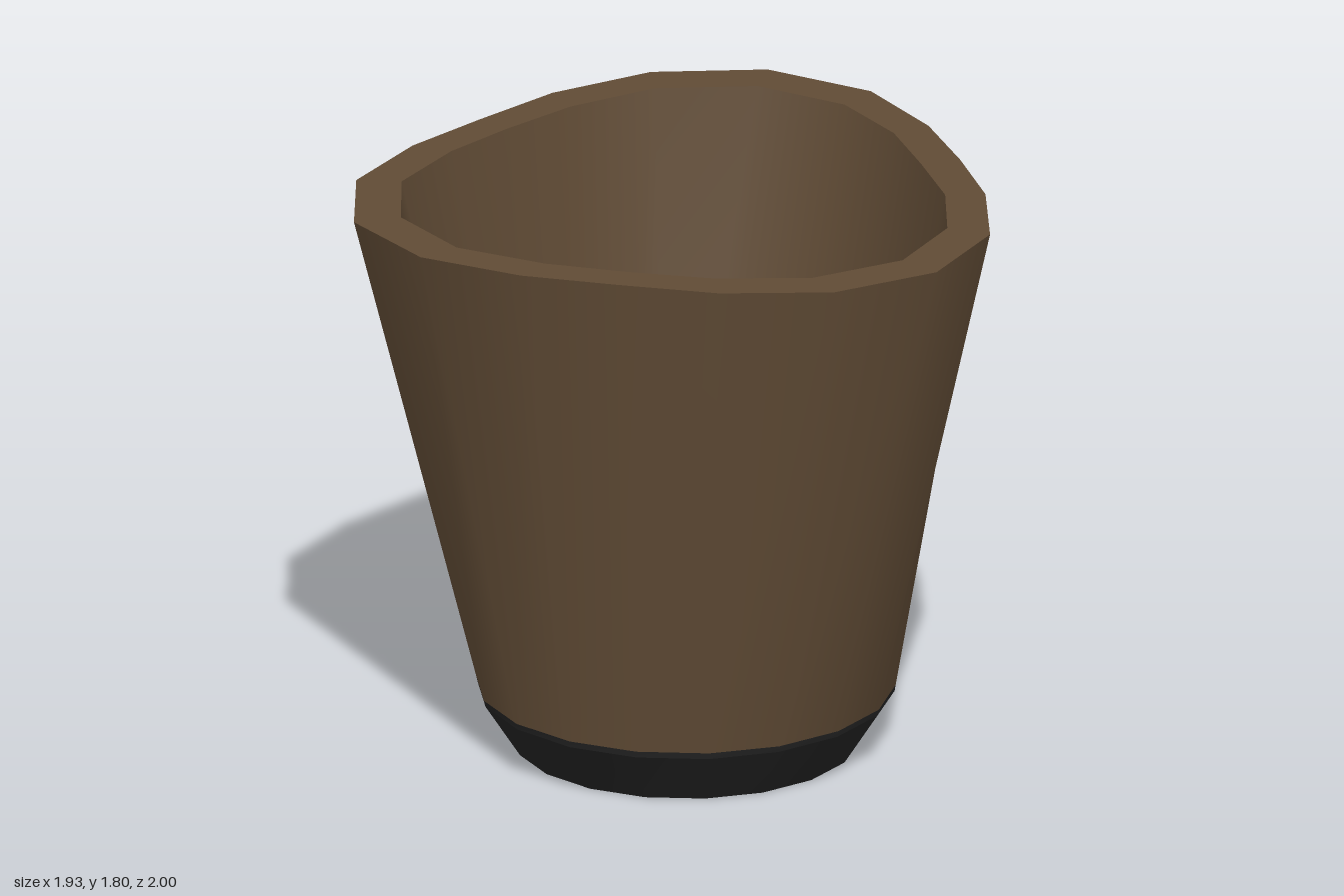
import * as THREE from 'three';

const brown = new THREE.MeshStandardMaterial({ name: 'brown', color: 0x604b35 });
const black = new THREE.MeshStandardMaterial({ name: 'black', color: 0x222222 });
const SIDES = 18, CENTRE_X = 0.09;

// Rim outlines, half of each; the other half is mirrored in z
const OUTER = [[-0.97, 0], [-0.86, 0.35], [-0.61, 0.59], [-0.35, 0.75], [-0.07, 0.91],
  [0.27, 1], [0.62, 0.92], [0.87, 0.65], [0.955, 0.31], [0.965, 0]];
const INNER = [[-0.82, 0], [-0.73, 0.3], [-0.51, 0.51], [-0.29, 0.65], [-0.05, 0.78],
  [0.24, 0.86], [0.55, 0.79], [0.76, 0.56], [0.835, 0.28], [0.84, 0]];

function outline(half, y) {
  const back = half.slice(1, -1).reverse().map(([x, z]) => [x, -z]);
  return [...half, ...back].map(([x, z]) => new THREE.Vector3(x, y, z));
}

function circle(r, y) {
  return Array.from({ length: SIDES }, (_, i) => {
    const a = (i / SIDES) * Math.PI * 2;
    return new THREE.Vector3(CENTRE_X - r * Math.cos(a), y, r * Math.sin(a));
  });
}

// Smooth skin through a list of closed rings
function loft(rings) {
  const index = [];
  for (let k = 0; k < rings.length - 1; k++) {
    for (let i = 0; i < SIDES; i++) {
      const j = (i + 1) % SIDES, a = k * SIDES, b = a + SIDES;
      index.push(a + i, a + j, b + j, a + i, b + j, b + i);
    }
  }
  const g = new THREE.BufferGeometry().setFromPoints(rings.flat());
  g.setIndex(index);
  g.computeVertexNormals();
  return g;
}

export function createModel() {
  const group = new THREE.Group();
  group.name = 'cup';
  const add = (name, material, ...rings) => {
    const mesh = new THREE.Mesh(loft(rings), material);
    mesh.name = name;
    group.add(mesh);
  };

  const foot = circle(0.53, 0);
  const shoulder = circle(0.64, 0.17);
  const rimOuter = outline(OUTER, 1.8);
  const rimInner = outline(INNER, 1.8);
  const floorEdge = circle(0.53, 0.19);
  // Colour break just above the shoulder, on the straight wall
  const bandTop = shoulder.map((p, i) => p.clone().lerp(rimOuter[i], 0.02 / 1.63));

  // Dark base
  add('baseUnderside', black, circle(0.001, 0), foot);
  add('baseChamfer', black, foot, shoulder);
  add('baseBand', black, shoulder, bandTop);

  // Cup body
  add('outerWall', brown, bandTop, rimOuter);
  add('rim', brown, rimOuter, rimInner);
  add('innerWall', brown, rimInner, floorEdge);
  add('innerFloor', brown, floorEdge, circle(0.001, 0.19));
  return group;
}
